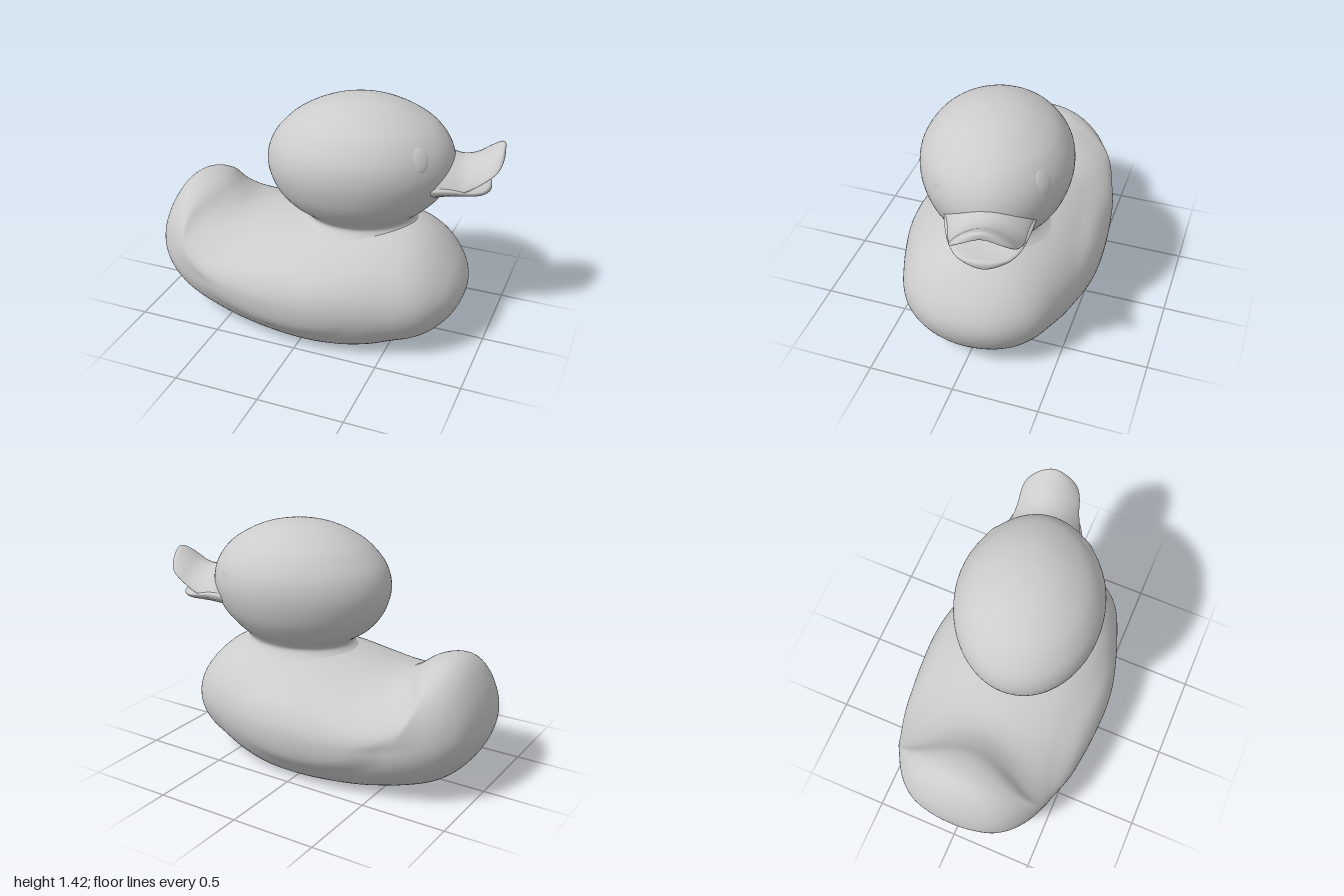
import * as THREE from 'three';

const material = new THREE.MeshStandardMaterial({ color: 0xcccccc, side: THREE.DoubleSide });
const { smoothstep, degToRad } = THREE.MathUtils;

// Skin a smooth surface over interpolated section rows; place(values, angle) gives [x, y, z].
function loft(name, rows, steps, segs, place) {
  const spline = new THREE.CubicInterpolant(rows.map((_, i) => i), rows.flat(), rows[0].length);
  const positions = [], index = [];
  for (let i = 0; i <= steps; i++) {
    const v = Array.from(spline.evaluate((i / steps) * (rows.length - 1)));
    for (let j = 0; j < segs; j++) positions.push(...place(v, (j / segs) * Math.PI * 2));
  }
  for (let i = 0; i < steps; i++) {
    for (let j = 0; j < segs; j++) {
      const a = i * segs + j, b = i * segs + ((j + 1) % segs);
      index.push(a, b, a + segs, b, b + segs, a + segs);
    }
  }
  const geometry = new THREE.BufferGeometry();
  geometry.setAttribute('position', new THREE.Float32BufferAttribute(positions, 3));
  geometry.setIndex(index);
  geometry.computeVertexNormals();
  const mesh = new THREE.Mesh(geometry, material);
  mesh.name = name;
  return mesh;
}

// Body with upturned tail, flat underside and softly raised wings
function makeBody() {
  // x, top, widest height, bottom, half width
  const rows = [
    [-1.0, 0.42, 0.42, 0.42, 0],
    [-0.994, 0.5, 0.42, 0.34, 0.12],
    [-0.96, 0.61, 0.41, 0.25, 0.25],
    [-0.9, 0.715, 0.4, 0.16, 0.34],
    [-0.83, 0.77, 0.39, 0.09, 0.4],
    [-0.75, 0.778, 0.375, 0.04, 0.445],
    [-0.66, 0.75, 0.36, 0.005, 0.48],
    [-0.57, 0.685, 0.35, -0.025, 0.503],
    [-0.48, 0.64, 0.34, -0.05, 0.522],
    [-0.37, 0.63, 0.335, -0.08, 0.54],
    [-0.2, 0.655, 0.33, -0.11, 0.56],
    [0, 0.69, 0.33, -0.13, 0.57],
    [0.2, 0.71, 0.33, -0.12, 0.56],
    [0.38, 0.715, 0.33, -0.08, 0.523],
    [0.53, 0.695, 0.33, -0.02, 0.472],
    [0.64, 0.65, 0.33, 0.02, 0.425],
    [0.73, 0.58, 0.33, 0.075, 0.36],
    [0.81, 0.49, 0.33, 0.16, 0.255],
    [0.852, 0.42, 0.33, 0.235, 0.155],
    [0.869, 0.37, 0.33, 0.29, 0.07],
    [0.873, 0.33, 0.33, 0.33, 0],
  ];
  return loft('body', rows, 120, 96, ([x, top, mid, bottom, w], a) => {
    const c = Math.cos(a), s = Math.sin(a);
    const raw = mid + c * (c > 0 ? top - mid : mid - bottom);
    const y = (raw + Math.hypot(raw, 0.025)) / 2; // softly flattened base
    const e = ((x + 0.05) / 0.54) ** 2 + ((y - 0.34) / 0.21) ** 2;
    const wing = 0.02 * (1 - smoothstep(e, 0.45, 1.15)) * (1 - smoothstep(x, 0, 0.45));
    // the front of the tail curves back towards the sides
    const sweep = 1.2 * (s * w) ** 2 * Math.max(0, c) * Math.exp(-(((x + 0.58) / 0.15) ** 2));
    return [x - sweep, y, s * w + Math.sign(s) * wing];
  });
}

// Egg-shaped head that narrows into the neck and flares onto the body
function makeHead() {
  // y, back x, front x, half width
  const rows = [
    [0.61, -0.4, 0.42, 0.36],
    [0.65, -0.36, 0.37, 0.3],
    [0.7, -0.315, 0.325, 0.258],
    [0.74, -0.345, 0.335, 0.275],
    [0.8, -0.43, 0.405, 0.33],
    [0.9, -0.505, 0.488, 0.39],
    [1.03, -0.54, 0.53, 0.425],
    [1.15, -0.515, 0.51, 0.417],
    [1.25, -0.44, 0.445, 0.365],
    [1.32, -0.35, 0.355, 0.295],
    [1.38, -0.225, 0.23, 0.19],
    [1.41, -0.1, 0.1, 0.085],
    [1.417, 0, 0, 0],
  ];
  return loft('head', rows, 72, 72, ([y, back, front, w], a) => {
    const s = Math.sin(a), taper = 1 - 0.07 * Math.max(0, s) ** 2;
    return [(front + back) / 2 + (s * (front - back)) / 2, y, Math.cos(a) * w * taper];
  });
}

// Bill half: a curved blade; rows are x, crest height, sideways droop, half width, half thickness
function makeBill(name, rows) {
  return loft(name, rows, 48, 48, ([x, y, droop, w, t], a) => {
    const s = Math.sin(a);
    return [x, y - droop * s * s + Math.cos(a) * t, s * w];
  });
}

export function createModel() {
  const model = new THREE.Group();
  model.name = 'bathDuck';
  model.add(makeBody());

  // Head assembly, turned a little to one side
  const head = new THREE.Group();
  head.name = 'headGroup';
  head.position.set(0.22, 0, -0.01);
  head.rotation.y = degToRad(13);
  head.add(makeHead());

  head.add(makeBill('upperBill', [
    [0.36, 1.05, 0.07, 0.25, 0.1],
    [0.44, 1.05, 0.085, 0.235, 0.085],
    [0.51, 1.05, 0.09, 0.22, 0.06],
    [0.58, 1.055, 0.09, 0.2, 0.043],
    [0.65, 1.08, 0.085, 0.184, 0.034],
    [0.71, 1.122, 0.085, 0.176, 0.03],
    [0.755, 1.152, 0.08, 0.158, 0.028],
    [0.782, 1.167, 0.06, 0.12, 0.025],
    [0.795, 1.17, 0.03, 0.065, 0.017],
    [0.798, 1.17, 0, 0, 0],
  ]));
  head.add(makeBill('lowerBill', [
    [0.36, 0.935, -0.035, 0.25, 0.075],
    [0.44, 0.935, -0.04, 0.24, 0.062],
    [0.51, 0.932, -0.04, 0.225, 0.05],
    [0.58, 0.925, -0.035, 0.205, 0.039],
    [0.64, 0.92, -0.028, 0.178, 0.034],
    [0.69, 0.92, -0.02, 0.14, 0.032],
    [0.722, 0.924, -0.012, 0.09, 0.028],
    [0.736, 0.926, -0.005, 0.045, 0.018],
    [0.74, 0.927, 0, 0, 0],
  ]));

  // Oval eyes, set nearly flush with the head
  for (const side of [1, -1]) {
    const eye = new THREE.Mesh(new THREE.SphereGeometry(1, 32, 20), material);
    eye.name = side > 0 ? 'leftEye' : 'rightEye';
    eye.scale.set(0.068, 0.077, 0.024);
    eye.position.set(0.334, 1.175, side * 0.266);
    const normal = new THREE.Vector3(1.25, 0.95, side * 1.6);
    eye.lookAt(eye.position.clone().add(normal));
    head.add(eye);
  }
  model.add(head);
  return model;
}
